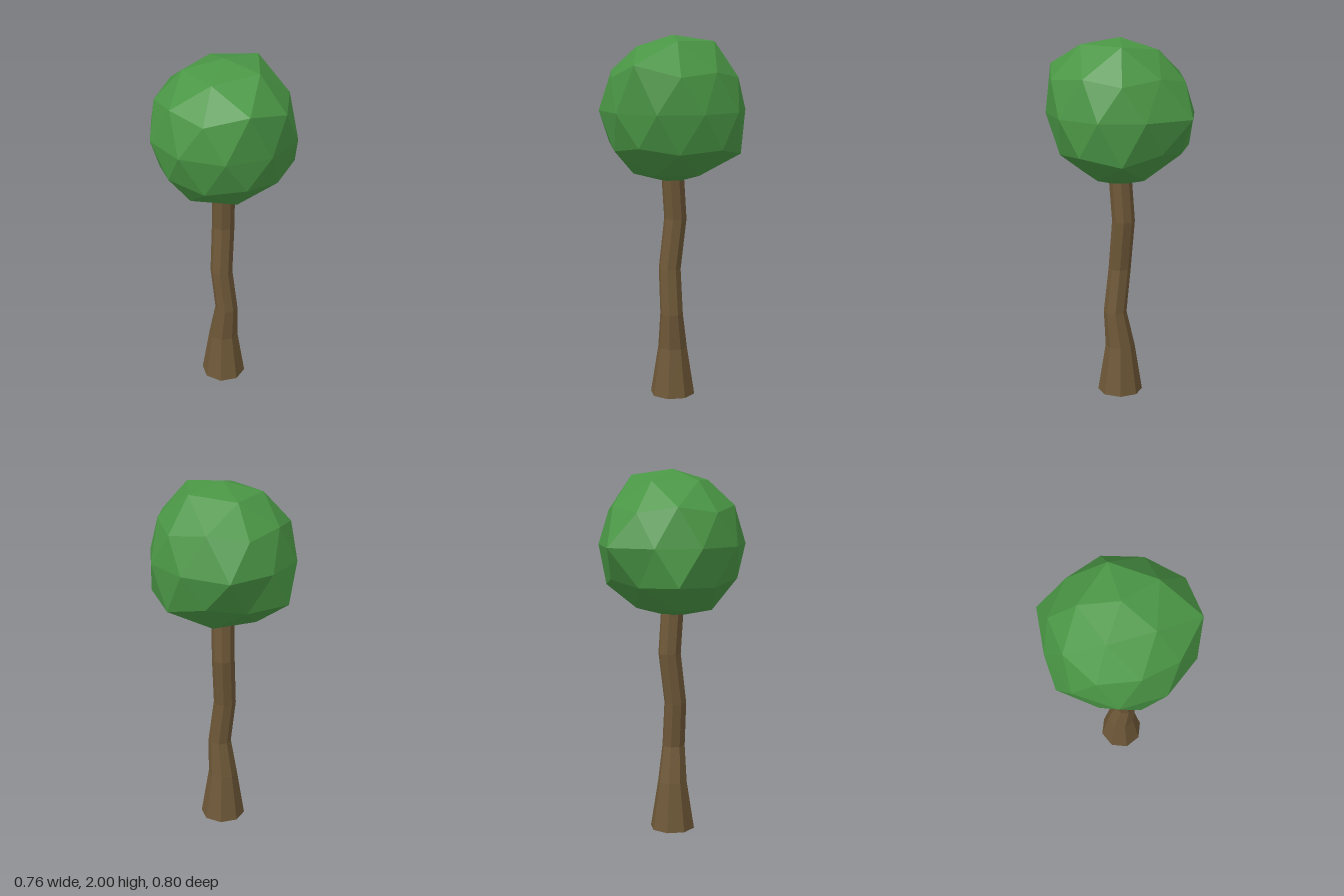
import * as THREE from 'three';

const CROWN_Y = 1.6;
const CROWN_R = 0.4;

// Trunk rings from the ground up: height, centre x, centre z, radius
const TRUNK_RINGS = [
  [0, 0, 0, 0.125],
  [0.27, 0, 0, 0.082],
  [0.47, 0, 0.028, 0.064],
  [0.72, -0.016, 0.002, 0.062],
  [1.0, 0.012, -0.018, 0.063],
  [1.25, 0, 0, 0.063],
];

// Crown corners pulled outward, relative to the crown centre
const CROWN_BUMPS = [
  [0.227, 0.368, 0], [0.068, 0.37, 0.21], [0.118, 0.19, 0.365],
  [-0.125, 0.25, 0.375], [0.26, 0, -0.37], [-0.125, -0.2, -0.385],
  [0.375, -0.23, 0], [0.31, -0.19, 0.22], [-0.22, -0.355, 0],
].map((p) => new THREE.Vector3(...p));

function makeMesh(name, geometry, color) {
  const material = new THREE.MeshStandardMaterial({ color, flatShading: true });
  const mesh = new THREE.Mesh(geometry, material);
  mesh.name = name;
  return mesh;
}

// Crooked eight-sided trunk with a flared foot
function trunkGeometry() {
  const steps = TRUNK_RINGS.length - 1;
  const geometry = new THREE.CylinderGeometry(1, 1, 1, 8, steps);
  const pos = geometry.attributes.position;
  for (let i = 0; i < pos.count; i++) {
    const [y, cx, cz, r] = TRUNK_RINGS[Math.round((pos.getY(i) + 0.5) * steps)];
    pos.setXYZ(i, cx + pos.getX(i) * r, y, cz + pos.getZ(i) * r);
  }
  geometry.computeVertexNormals();
  return geometry;
}

// Faceted ball standing on a corner, with a few corners pulled out
function crownGeometry() {
  const geometry = new THREE.IcosahedronGeometry(CROWN_R, 1);
  geometry.rotateX(-Math.atan((1 + Math.sqrt(5)) / 2));
  geometry.rotateY(Math.PI / 2);
  const pos = geometry.attributes.position;
  const v = new THREE.Vector3();
  for (let i = 0; i < pos.count; i++) {
    v.fromBufferAttribute(pos, i);
    const bump = CROWN_BUMPS.find((b) => b.angleTo(v) < 0.2);
    if (bump) pos.setXYZ(i, bump.x, bump.y, bump.z);
  }
  geometry.computeVertexNormals();
  return geometry;
}

export function createModel() {
  const tree = new THREE.Group();
  tree.name = 'tree';

  const trunk = makeMesh('trunk', trunkGeometry(), 0x6e5838);
  const crown = makeMesh('crown', crownGeometry(), 0x4a9645);
  crown.position.y = CROWN_Y;

  tree.add(trunk, crown);
  return tree;
}
